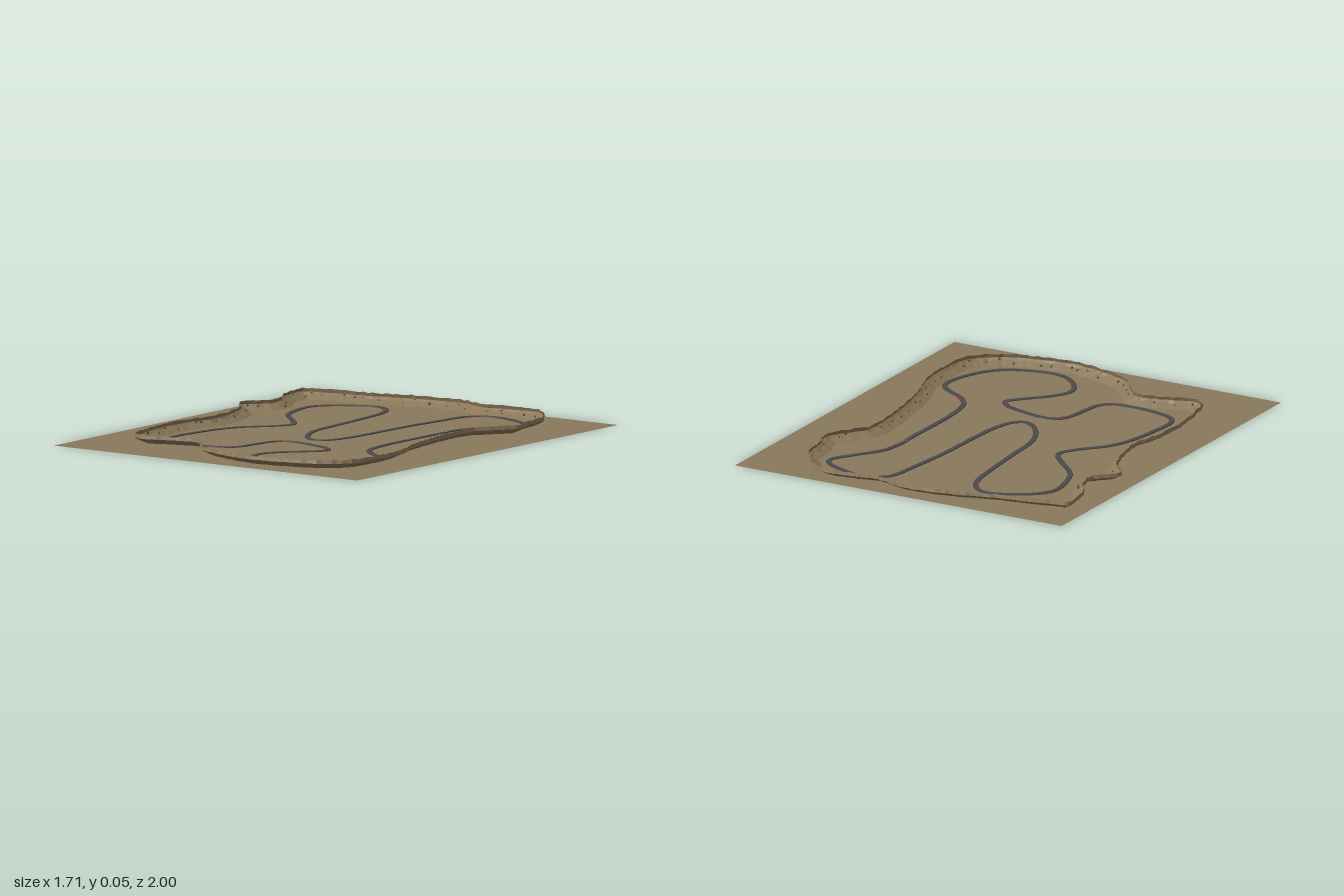
import * as THREE from 'three';

const mat = (name, color, side = THREE.FrontSide) => {
  const m = new THREE.MeshStandardMaterial({ color, side });
  m.name = name;
  return m;
};

// repeatable noise in 0..1
const noise = (i, k = 0) => {
  const s = Math.sin(i * 127.1 + k * 311.7) * 43758.5453;
  return s - Math.floor(s);
};

const loop = (flat) => {
  const pts = [];
  for (let i = 0; i < flat.length; i += 2) pts.push(new THREE.Vector3(flat[i], 0, flat[i + 1]));
  return new THREE.CatmullRomCurve3(pts, true, 'centripetal');
};

// point at fraction u, moved sideways by "inset" (right of travel) and up to y
const place = (curve, u, inset, y) => {
  const p = curve.getPointAt(u), t = curve.getTangentAt(u);
  return new THREE.Vector3(p.x - t.z * inset, y, p.z + t.x * inset);
};

// closed strip: profile(i) gives [inset, y] pairs, ordered left to right of travel
function sweep(curve, n, profile) {
  const pos = [], index = [], m = profile(0).length;
  for (let i = 0; i < n; i++)
    for (const [inset, y] of profile(i)) pos.push(...place(curve, i / n, inset, y).toArray());
  for (let i = 0; i < n; i++)
    for (let j = 0; j < m - 1; j++) {
      const a = i * m + j, b = ((i + 1) % n) * m + j;
      index.push(a, a + 1, b, b, a + 1, b + 1);
    }
  let g = new THREE.BufferGeometry();
  g.setAttribute('position', new THREE.Float32BufferAttribute(pos, 3));
  g.setIndex(index);
  g = g.toNonIndexed();
  g.computeVertexNormals();
  return g;
}

const trackLine = [
  .355, -.235, .355, -.39, .38, -.5, .455, -.605, .52, -.72, .495, -.765, .4, -.815, .28, -.842,
  .2, -.82, .16, -.765, .14, -.63, .115, -.39, .105, -.13, .09, .055, .06, .145, .015, .178,
  -.045, .15, -.11, .06, -.15, -.05, -.165, -.235, -.185, -.475, -.205, -.63, -.235, -.705, -.285, -.755,
  -.34, -.765, -.445, -.73, -.555, -.645, -.582, -.58, -.565, -.455, -.52, -.34, -.425, -.24, -.35, -.155,
  -.34, -.115, -.375, -.05, -.485, .08, -.53, .19, -.56, .375, -.565, .495, -.54, .55, -.445, .59,
  -.31, .605, -.195, .59, -.155, .54, -.14, .45, -.12, .335, -.09, .29, -.02, .278, .11, .305,
  .2, .34, .235, .39, .2, .44, .085, .565, .048, .64, .058, .705, .12, .785, .2, .828,
  .325, .822, .48, .755, .565, .625, .595, .48, .57, .42, .43, .325, .38, .255, .355, .11,
];

const ridgeLine = [
  -.775, -.8, -.68, -.83, -.445, -.875, -.26, -.925, -.125, -.95, 0, -.957, .165, -.915, .24, -.93,
  .43, -.945, .515, -.895, .56, -.835, .615, -.75, .625, -.63, .66, -.525, .605, -.42, .545, -.34,
  .54, -.13, .57, .08, .605, .24, .655, .4, .665, .56, .645, .74, .55, .84, .375, .905,
  .2, .93, .005, .895, -.15, .83, -.235, .72, -.295, .68, -.42, .705, -.55, .745, -.615, .705,
  -.645, .585, -.67, .4, -.66, .215, -.63, .08, -.655, -.1, -.7, -.22, -.775, -.315, -.69, -.435,
  -.7, -.525, -.76, -.63, -.775, -.71,
];

export function createModel() {
  const group = new THREE.Group();
  const sand = mat('sand', 0x8a795c, THREE.DoubleSide);
  const cliff = mat('cliff', 0x8a7759, THREE.DoubleSide);
  const asphalt = mat('asphalt', 0x4a4a4a);
  const red = mat('kerbRed', 0xb83038);
  const pale = mat('paleMarking', 0x9a9a92);
  const stone = mat('stone', 0x5a4d3a);

  const add = (name, geometry, material, parent = group) => {
    const m = new THREE.Mesh(geometry, material);
    m.name = name;
    parent.add(m);
    return m;
  };

  // desert floor
  const floor = add('ground', new THREE.PlaneGeometry(1.71, 2).rotateX(-Math.PI / 2), sand);
  floor.position.y = 0.001;

  // road with low shoulders
  const track = loop(trackLine);
  track.arcLengthDivisions = 1500;
  add('road', sweep(track, 500, () => [[-0.0125, 0.001], [-0.0115, 0.005], [0.0115, 0.005], [0.0125, 0.001]]), asphalt);

  // short rows of kerb blocks: x, z of the bend and the side they sit on
  const samples = track.getSpacedPoints(600);
  const kerbs = new THREE.Group();
  kerbs.name = 'kerbs';
  group.add(kerbs);
  const block = new THREE.BoxGeometry(0.005, 0.003, 0.007);
  const bends = [
    [-.23, -.7, -1], [.2, -.82, -1], [.385, -.51, 1], [-.56, -.64, -1], [-.1, .3, 1],
    [.23, .38, 1], [.43, .325, 1], [-.2, .59, -1], [.1, .765, -1],
  ];
  for (const [x, z, side] of bends) {
    let best = 0;
    const target = new THREE.Vector3(x, 0, z);
    samples.forEach((p, i) => { if (p.distanceTo(target) < samples[best].distanceTo(target)) best = i; });
    for (let k = -2; k <= 2; k++) {
      const u = (best / 600 + k * 0.0019 + 1) % 1;
      const b = add('kerbBlock', block, red, kerbs);
      b.position.copy(place(track, u, side * 0.0105, 0.0055));
      const t = track.getTangentAt(u);
      b.rotation.y = Math.atan2(t.x, t.z);
    }
  }

  // starting grid marks on the straight
  const slot = new THREE.BoxGeometry(0.007, 0.001, 0.002);
  for (let k = 0; k < 8; k++)
    add('gridMark', slot, pale).position.set(0.355 + (k % 2 ? 0.005 : -0.005), 0.0055, -0.37 + k * 0.013);

  // cliff ring leaning outwards, with a ragged crest
  const ridge = loop(ridgeLine);
  ridge.arcLengthDivisions = 1000;
  const n = 260;
  add('cliffRing', sweep(ridge, n, (i) => {
    const r = (noise(i) - 0.5) * 0.008;
    return [
      [0.004 + r, 0.041 + noise(i, 1) * 0.006],
      [r, 0.028],
      [0.014 + r, 0.017 + noise(i, 2) * 0.004],
      [0.052 + r, 0.001],
    ];
  }), cliff);

  // loose stones on the cliff
  const rocks = new THREE.Group();
  rocks.name = 'stones';
  group.add(rocks);
  const rock = new THREE.DodecahedronGeometry(1);
  for (let i = 0; i < 80; i++) {
    const inset = 0.006 + noise(i, 4) * 0.03;
    const s = 0.003 + noise(i, 5) * 0.004;
    const m = add('stone', rock, stone, rocks);
    m.position.copy(place(ridge, (i + noise(i, 3)) / 80, inset, 0.03 - inset * 0.55));
    m.scale.set(s, s * 0.9, s);
    m.rotation.set(i, i * 2, 0);
  }
  return group;
}
